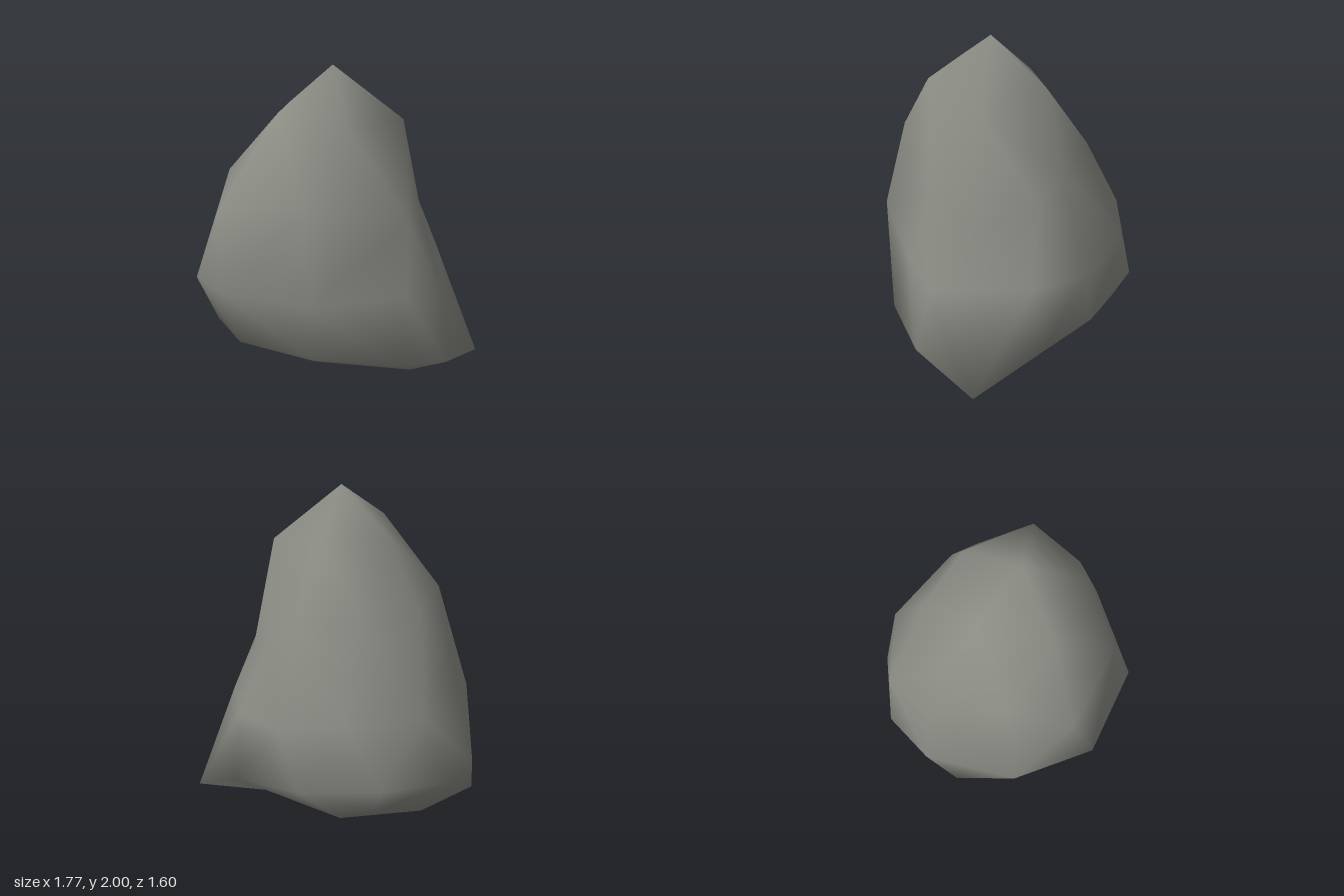
import * as THREE from 'three';
import { ConvexGeometry } from 'three/addons/geometries/ConvexGeometry.js';
import { mergeVertices } from 'three/addons/utils/BufferGeometryUtils.js';

// Corners of the boulder, ring by ring from the peak down
const peak = [[-0.04, 2, 0.09]];
const shoulder = [
  [0.37, 1.68, 0.1], [0.05, 1.75, 0.45], [-0.34, 1.78, 0.3], [-0.3, 1.71, -0.12], [0.12, 1.74, -0.26],
];
const upper = [
  [0.41, 1.15, 0.4], [-0.18, 1.36, 0.66], [-0.67, 1.27, 0.48], [-0.66, 1.35, 0.1],
  [-0.45, 1.31, -0.31], [-0.08, 1.33, -0.49], [0.29, 1.27, -0.38], [0.43, 1.17, -0.25],
];
const belly = [
  [0.51, 1.0, 0.1], [0.63, 0.64, 0.37], [0.4, 0.74, 0.54], [-0.15, 0.81, 0.8], [-0.68, 0.81, 0.63],
  [-0.89, 0.65, 0.18], [-0.64, 0.99, -0.37], [-0.41, 0.78, -0.69], [0.04, 0.76, -0.74],
  [0.42, 0.69, -0.53], [0.62, 0.69, -0.24],
];
const lower = [
  [0.885, 0.085, 0.08], [0.66, 0.24, 0.46], [0.35, 0.34, 0.66], [-0.15, 0.34, 0.61], [-0.615, 0.28, 0.34],
  [-0.78, 0.38, -0.42], [-0.56, 0.37, -0.7], [-0.15, 0.39, -0.8], [0.3, 0.3, -0.57], [0.66, 0.29, -0.3],
];
const foot = [
  [0.45, 0.06, 0.29], [-0.15, 0.14, 0.335], [-0.84, 0.1, -0.22], [-0.45, 0.1, -0.5],
  [-0.12, 0.21, -0.69], [0.05, 0.1, -0.53], [0.05, 0.01, -0.06], [-0.44, 0, -0.22],
];

// Join the corners by wrapping their directions from the core, so hollows are kept
function wrapCorners(corners, core) {
  const points = corners.map((c) => new THREE.Vector3(...c));
  const directions = points.map((p) => p.clone().sub(core).normalize());
  const geometry = new ConvexGeometry(directions);
  const position = geometry.attributes.position;
  const v = new THREE.Vector3();
  for (let i = 0; i < position.count; i++) {
    v.fromBufferAttribute(position, i);
    let best = 0;
    directions.forEach((d, k) => {
      if (d.dot(v) > directions[best].dot(v)) best = k;
    });
    position.setXYZ(i, ...points[best].toArray());
  }
  geometry.deleteAttribute('normal');
  const smooth = mergeVertices(geometry);
  smooth.computeVertexNormals();
  return smooth;
}

export function createModel() {
  const group = new THREE.Group();
  group.name = 'rock';
  const stone = new THREE.MeshStandardMaterial({ color: 0x8a8c84 });
  stone.name = 'grey stone';
  const corners = [...peak, ...shoulder, ...upper, ...belly, ...lower, ...foot];
  const boulder = new THREE.Mesh(wrapCorners(corners, new THREE.Vector3(-0.05, 0.75, 0.05)), stone);
  boulder.name = 'boulder';
  group.add(boulder);
  return group;
}
